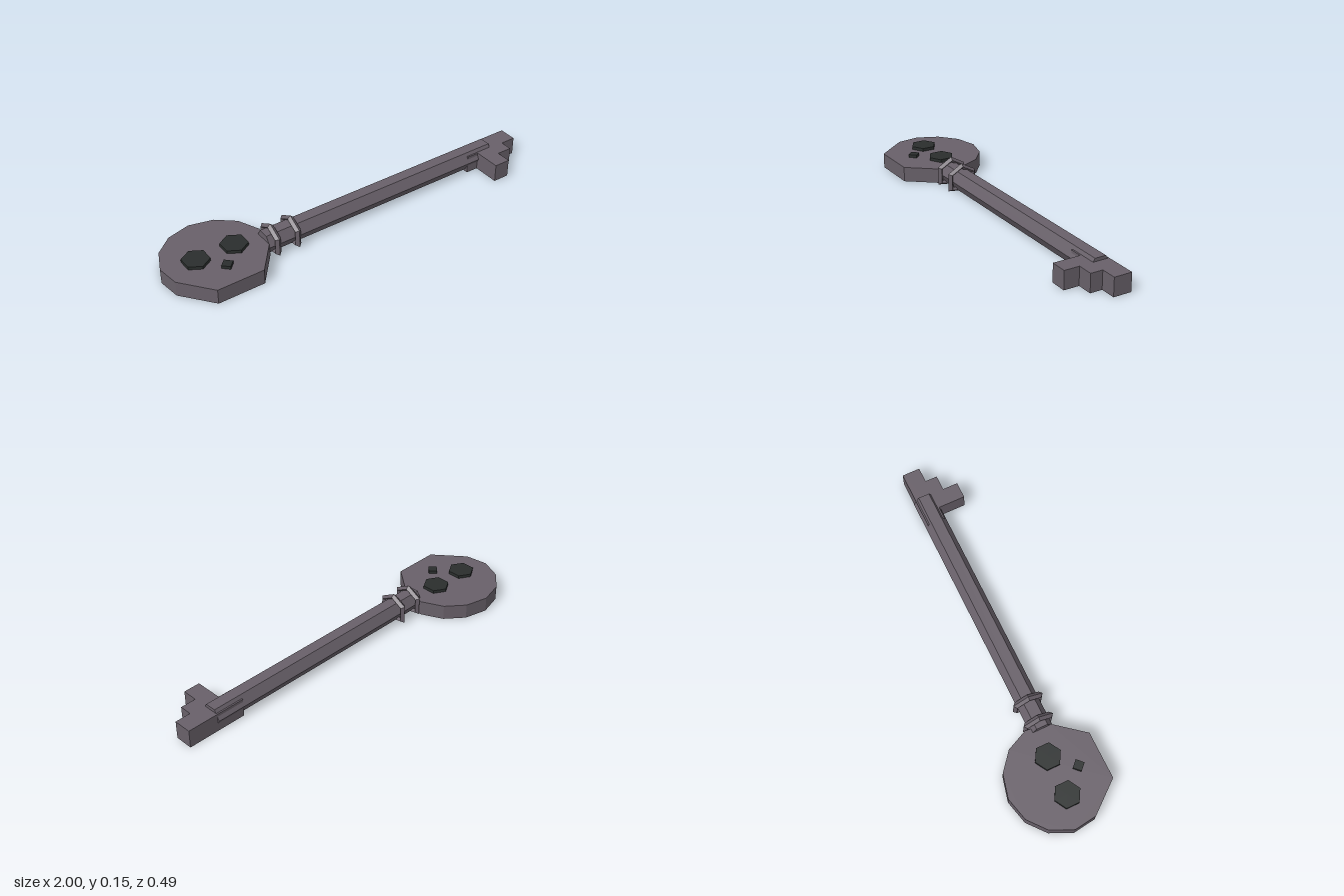
import * as THREE from 'three';

const iron = new THREE.MeshStandardMaterial({ color: 0x686069 });
iron.name = 'iron grey';
const dark = new THREE.MeshStandardMaterial({ color: 0x2a2e2d });
dark.name = 'socket black';

const AXIS_Y = 0.06, AXIS_Z = 0.046; // line of the shaft

// Faceted mesh with hard edges
function part(name, geometry, material = iron) {
  const g = geometry.index ? geometry.toNonIndexed() : geometry;
  g.computeVertexNormals();
  const mesh = new THREE.Mesh(g, material);
  mesh.name = name;
  return mesh;
}

// Flat plate from an [x, z] outline, standing on y = 0
function plate(points, height) {
  const shape = new THREE.Shape(points.map(([x, z]) => new THREE.Vector2(x, -z)));
  return new THREE.ExtrudeGeometry(shape, { depth: height, bevelEnabled: false }).rotateX(-Math.PI / 2);
}

// Six-cornered collar with a diamond cross-section and a flattened underside
function collarGeometry() {
  const outer = [[0, 0.147], [0.077, 0.103], [0.077, 0.01], [0, 0], [-0.077, 0.01], [-0.077, 0.103]];
  const inner = [[0, 0.118], [0.05, 0.09], [0.05, 0.028], [0, 0.02], [-0.05, 0.028], [-0.05, 0.09]];
  const pos = [], idx = [];
  for (let i = 0; i < 6; i++) {
    const [oz, oy] = outer[i], [iz, iy] = inner[i];
    const mz = (oz + iz) / 2, my = (oy + iy) / 2;
    pos.push(0, oy, oz, 0.016, my, mz, 0, iy, iz, -0.016, my, mz);
    for (let j = 0; j < 4; j++) {
      const a = i * 4 + j, b = i * 4 + (j + 1) % 4;
      const n = ((i + 1) % 6) * 4, c = n + (j + 1) % 4, d = n + j;
      idx.push(a, d, b, b, d, c);
    }
  }
  const g = new THREE.BufferGeometry();
  g.setAttribute('position', new THREE.Float32BufferAttribute(pos, 3));
  g.setIndex(idx);
  return g;
}

export function createModel() {
  const key = new THREE.Group();
  key.name = 'skullKey';

  // Skull-shaped bow, mirrored about its centre line
  const half = [[0, -0.245], [0.12, -0.215], [0.21, -0.14], [0.26, -0.03], [0.245, 0.085], [0.12, 0.24]];
  const mirrored = half.slice(1).reverse().map(([x, z]) => [-x, z]);
  const outline = [...half, ...mirrored].map(([x, z]) => [x - 0.74, z]);
  key.add(part('skullBow', plate(outline, 0.077)));

  // Eyes and nose
  for (const [name, x, z, r, sides] of [
    ['rightEye', -0.84, 0.01, 0.067, 6],
    ['leftEye', -0.64, 0.01, 0.067, 6],
    ['nose', -0.74, 0.12, 0.031, 4],
  ]) {
    const mesh = part(name, new THREE.CylinderGeometry(r, r, 0.023, sides), dark);
    mesh.position.set(x, 0.0815, z);
    key.add(mesh);
  }

  // Hexagonal shaft
  const shaft = part('shaft', new THREE.CylinderGeometry(0.057, 0.057, 1.345, 6).rotateZ(Math.PI / 2));
  shaft.position.set(0.1675, AXIS_Y, AXIS_Z);
  key.add(shaft);

  // Collars near the bow
  for (const x of [-0.465, -0.355]) {
    const collar = part('collar', collarGeometry());
    collar.position.set(x, 0, AXIS_Z);
    key.add(collar);
  }

  // Stepped bit at the tip
  key.add(part('bit', plate([
    [0.69, 0], [1, 0], [1, 0.092], [0.92, 0.092], [0.92, 0.154],
    [0.84, 0.154], [0.84, 0.232], [0.755, 0.232], [0.755, 0.092], [0.69, 0.092],
  ], 0.093)));

  return key;
}
